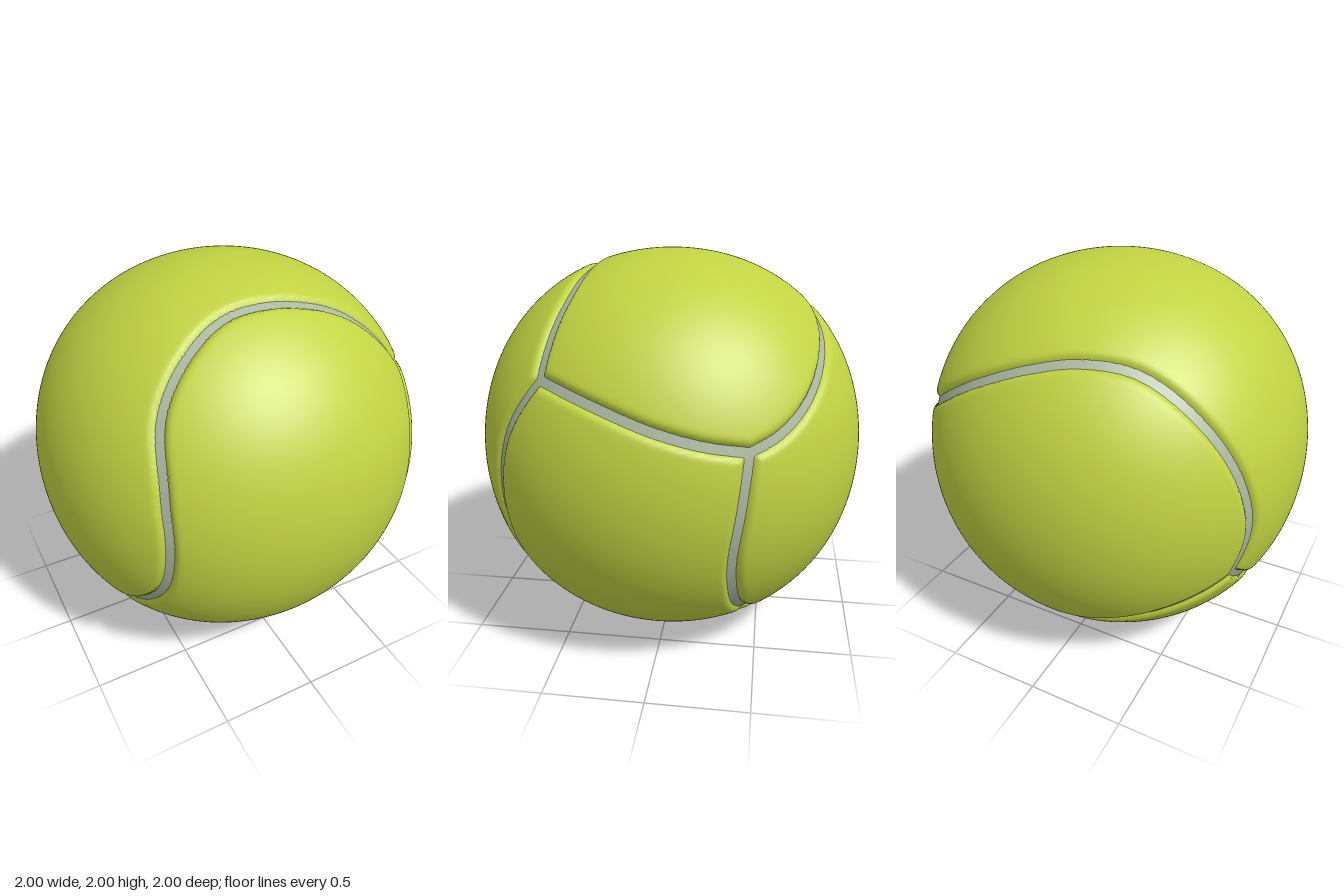
import * as THREE from 'three';
import { mergeVertices } from 'three/addons/utils/BufferGeometryUtils.js';

const GROOVE_DEPTH = 0.042, GROOVE_WIDTH = 0.026, SEAM_RADIUS = 0.98, SEAM_HALF = 0.024;

// The four points where three seams meet (ball centre as origin)
const frontTop = [0.72, 0.475, 0.5], sideBack = [0.86, 0.23, -0.45];
const bottomBack = [0.49, -0.75, -0.45], leftLow = [-0.83, -0.34, -0.445];

// Control points of the six seams between those corners
const overTop = [frontTop, [0.6, 0.62, 0.47], [0.4, 0.8, 0.43], [0.2, 0.89, 0.41], [0, 0.92, 0.39],
  [-0.2, 0.9, 0.39], [-0.4, 0.8, 0.45], [-0.58, 0.6, 0.55], [-0.65, 0.3, 0.7], [-0.66, 0, 0.75],
  [-0.68, -0.25, 0.69], [-0.74, -0.5, 0.45], [-0.785, -0.585, 0.2], [-0.84, -0.49, -0.24], leftLow];
const underFront = [frontTop, [0.7, 0.2, 0.68], [0.65, -0.15, 0.74], [0.54, -0.5, 0.67], [0.46, -0.73, 0.5],
  [0.4, -0.87, 0.28], [0.38, -0.92, 0.1], [0.4, -0.9, -0.1], [0.44, -0.84, -0.3], bottomBack];
const acrossSide = [frontTop, [0.88, 0.41, 0.22], [0.95, 0.33, -0.05], [0.93, 0.27, -0.27], sideBack];
const downSide = [sideBack, [0.9, 0, -0.43], [0.87, -0.3, -0.39], [0.77, -0.5, -0.39], [0.64, -0.65, -0.41], bottomBack];
const overBack = [sideBack, [0.77, 0.285, -0.575], [0.616, 0.387, -0.687], [0.32, 0.565, -0.76], [0.08, 0.665, -0.74],
  [-0.15, 0.715, -0.68], [-0.4, 0.685, -0.61], [-0.69, 0.47, -0.55], [-0.855, 0.18, -0.48], [-0.9, -0.07, -0.44], leftLow];
const underBack = [bottomBack, [0.27, -0.76, -0.59], [0.05, -0.735, -0.68], [-0.27, -0.64, -0.73], [-0.56, -0.51, -0.66], leftLow];

// Slight fullness of the ball away from its axes
const fullness = v => 1 + 0.03 * (1 - v.x ** 4 - v.y ** 4 - v.z ** 4);

// Evenly spaced points along a seam, all on the unit sphere
function seamPoints(path, count) {
  const curve = new THREE.CatmullRomCurve3(path.map(p => new THREE.Vector3(...p).normalize()));
  return curve.getSpacedPoints(count).map(p => p.normalize());
}

// Dense ball with a soft groove pressed in along every seam
function ballGeometry(lines) {
  let geo = new THREE.IcosahedronGeometry(1, 82);
  geo.deleteAttribute('uv');
  geo.deleteAttribute('normal');
  geo = mergeVertices(geo, 1e-5);
  const pos = geo.attributes.position, v = new THREE.Vector3();
  const all = lines.flat();
  for (let i = 0; i < pos.count; i++) {
    v.fromBufferAttribute(pos, i).normalize();
    let d2 = 4;
    for (const p of all) {
      const d = v.distanceToSquared(p);
      if (d < d2) d2 = d;
    }
    v.multiplyScalar(fullness(v) * (1 - GROOVE_DEPTH * Math.exp(-d2 / GROOVE_WIDTH ** 2)));
    pos.setXYZ(i, v.x, v.y, v.z);
  }
  geo.computeVertexNormals();
  return geo;
}

// Narrow ribbon lying in the groove
function ribbonGeometry(points) {
  const positions = [], index = [], last = points.length - 1;
  points.forEach((p, i) => {
    const tangent = points[Math.min(i + 1, last)].clone().sub(points[Math.max(i - 1, 0)]);
    const side = p.clone().cross(tangent).setLength(SEAM_HALF);
    const mid = p.clone().multiplyScalar(SEAM_RADIUS * fullness(p));
    positions.push(...mid.clone().add(side).toArray(), ...mid.clone().sub(side).toArray());
    if (i < last) {
      const a = i * 2;
      index.push(a + 1, a + 3, a, a + 3, a + 2, a);
    }
  });
  const geo = new THREE.BufferGeometry();
  geo.setAttribute('position', new THREE.Float32BufferAttribute(positions, 3));
  geo.setIndex(index);
  geo.computeVertexNormals();
  return geo;
}

export function createModel() {
  const felt = new THREE.MeshStandardMaterial({ color: 0xc1d342 });
  felt.name = 'lime felt';
  const rubber = new THREE.MeshStandardMaterial({ color: 0xabb8a2 });
  rubber.name = 'grey seam';

  const group = new THREE.Group();
  group.name = 'ball';
  const lines = [overTop, underFront, acrossSide, downSide, overBack, underBack].map(p => seamPoints(p, 140));

  const ball = new THREE.Mesh(ballGeometry(lines), felt);
  ball.name = 'feltPanels';
  ball.position.y = 1;
  group.add(ball);

  const seams = new THREE.Group();
  seams.name = 'seams';
  seams.position.y = 1;
  lines.forEach((line, i) => {
    const seam = new THREE.Mesh(ribbonGeometry(line), rubber);
    seam.name = `seam${i + 1}`;
    seams.add(seam);
  });
  group.add(seams);
  return group;
}
